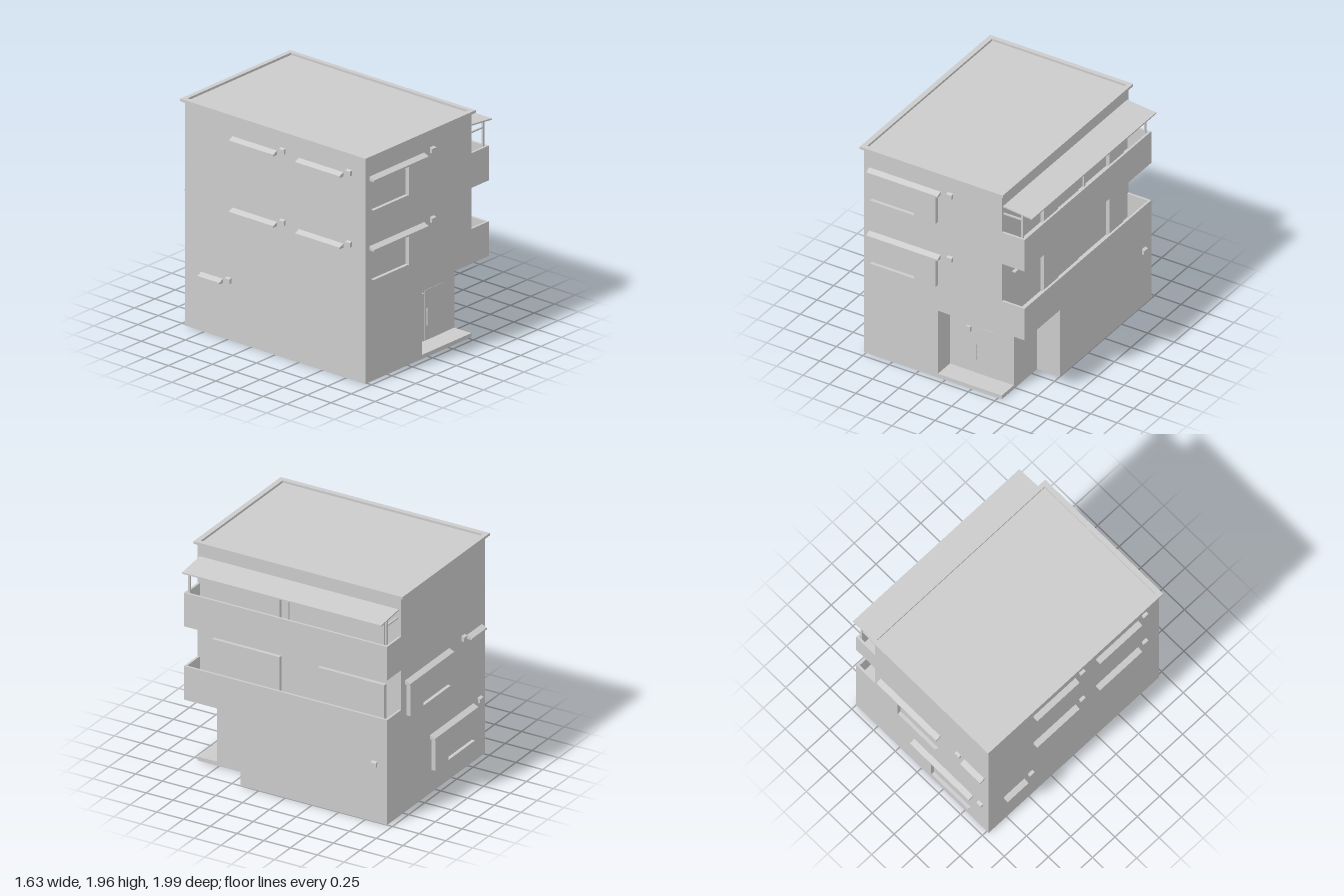
import * as THREE from 'three';

const mat = new THREE.MeshStandardMaterial({ color: 0xcccccc, flatShading: true });

function add(parent, name, geo) {
  const m = new THREE.Mesh(geo, mat);
  m.name = name;
  parent.add(m);
  return m;
}

// Box given by its min and max corners
function box(parent, name, x0, x1, y0, y1, z0, z1) {
  const g = new THREE.BoxGeometry(x1 - x0, y1 - y0, z1 - z0);
  g.translate((x0 + x1) / 2, (y0 + y1) / 2, (z0 + z1) / 2);
  return add(parent, name, g);
}

const toPlan = pts => pts.map(([x, z]) => new THREE.Vector2(x, -z));

// Floor plan of [x, z] points raised from y0 to y1
function plan(parent, name, pts, y0, y1, hole) {
  const s = new THREE.Shape(toPlan(pts));
  if (hole) s.holes.push(new THREE.Path(toPlan(hole)));
  const g = new THREE.ExtrudeGeometry(s, { depth: y1 - y0, bevelEnabled: false });
  g.rotateX(-Math.PI / 2);
  g.translate(0, y0, 0);
  return add(parent, name, g);
}

const rect = (x, X, z, Z) => [[x, Z], [X, Z], [X, z], [x, z]];

// Profile of [out, y] points run along the wall from u0 to u1
function run(parent, name, profile, u0, u1) {
  const s = new THREE.Shape(profile.map(p => new THREE.Vector2(p[0], p[1])));
  const g = new THREE.ExtrudeGeometry(s, { depth: u1 - u0, bevelEnabled: false });
  g.rotateY(-Math.PI / 2);
  g.translate(u1, 0, 0);
  return add(parent, name, g);
}

// Group whose local x runs along a wall and local z points out of it
function wall(root, name, x, z, turn) {
  const g = new THREE.Group();
  g.name = name;
  g.position.set(x, 0, z);
  g.rotation.y = turn;
  root.add(g);
  return g;
}

function hood(w, u0, u1, y) {
  run(w, 'windowHood', [[0, y], [0.047, y], [0.047, y + 0.014], [0, y + 0.036]], u0, u1);
}

function vent(w, u, y) {
  box(w, 'ventBox', u - 0.023, u + 0.023, y, y + 0.036, 0, 0.02);
  run(w, 'ventLid', [[0, y + 0.034], [0.026, y + 0.034], [0.026, y + 0.04], [0, y + 0.048]], u - 0.025, u + 0.025);
}

// Shutter case at one end, thin rails over and under the opening
function shutterWindow(w, u0, u1, y0, y1, caseHigh = true) {
  const c = 0.205;
  const [c0, c1, r0, r1] = caseHigh ? [u1 - c, u1, u0, u1 - c] : [u0, u0 + c, u0 + c, u1];
  box(w, 'shutterCase', c0, c1, y0, y1, 0, 0.035);
  box(w, 'windowSill', r0, r1, y0, y0 + 0.006, 0, 0.03);
  box(w, 'windowHeadRail', r0, r1, y1 - 0.008, y1, 0, 0.03);
}

function hoodedWindow(w, u0, u1, y0, y1, caseHigh) {
  shutterWindow(w, u0, u1, y0, y1, caseHigh);
  hood(w, u0 - 0.025, u1 + 0.025, y1);
}

export function createModel() {
  const root = new THREE.Group();
  root.name = 'house';
  const L = -0.77, M = 0.535, R = 0.75, D = 0.95;

  // Ground storey with the entrance corner cut away
  plan(root, 'groundStorey', [[L, D], [-0.07, D], [-0.07, 0.77], [M, 0.77], [M, 0.42], [R, 0.42], [R, -D], [L, -D]], 0, 0.635);
  box(root, 'porchFloor', -0.07, M, 0, 0.035, 0.77, D);
  box(root, 'upperStoreys', L, M, 0.635, 1.935, -D, D);

  // Balconies: slab and three-sided parapet
  const t = 0.02;
  for (const [y0, y1] of [[0.635, 0.935], [1.29, 1.59]]) {
    box(root, 'balconySlab', M, R - t, y0, y0 + 0.075, -D + t, D - t);
    plan(root, 'balconyParapet', [[M, D], [R, D], [R, -D], [M, -D], [M, -D + t], [R - t, -D + t], [R - t, D - t], [M, D - t]], y0, y1);
  }

  // Flat roof with raised rim
  plan(root, 'roofRim', rect(-0.795, 0.56, -0.98, 0.975), 1.94, 1.962, rect(-0.75, 0.52, -0.94, 0.93));
  box(root, 'roofDeck', -0.78, 0.545, 1.93, 1.942, -0.965, 0.96);

  // Entrance door
  box(root, 'door', 0.165, 0.39, 0.035, 0.47, 0.765, 0.773);
  box(root, 'doorHandle', 0.184, 0.192, 0.165, 0.315, 0.779, 0.79);
  for (const y of [0.18, 0.29]) box(root, 'handleMount', 0.185, 0.191, y, y + 0.008, 0.77, 0.782);
  box(root, 'doorbell', 0.095, 0.135, 0.415, 0.462, 0.765, 0.795);

  // Front wall
  const front = wall(root, 'frontWallFittings', 0, D, 0);
  for (const y of [0.88, 1.482]) {
    hoodedWindow(front, -0.695, -0.07, y, y + 0.26);
    vent(front, 0.05, y + 0.27);
  }

  // Back wall
  const back = wall(root, 'backWallFittings', 0, -D, Math.PI);
  hoodedWindow(back, -0.445, 0.19, 0.85, 1.137, false);
  vent(back, 0.43, 1.15);
  hood(back, 0.49, 0.72, 1.137);
  hoodedWindow(back, -0.06, 0.565, 0.2, 0.485, false);
  vent(back, 0.68, 0.495);

  // Left-hand wall in the -x direction
  const side = wall(root, 'sideWallFittings', L, 0, -Math.PI / 2);
  for (const y of [1.118, 1.735]) {
    for (const [u0, u1] of [[-0.45, 0.02], [0.25, 0.72]]) {
      hood(side, u0, u1, y);
      vent(side, u1 + 0.065, y + 0.03);
    }
  }
  hood(side, -0.78, -0.55, 0.475);
  vent(side, -0.485, 0.495);

  // Balcony-side wall
  vent(wall(root, 'lowerSideFittings', R, 0, Math.PI / 2), 0.835, 0.495);
  const inner = wall(root, 'balconyWindows', M, 0, Math.PI / 2);
  for (const [y0, y1] of [[0.712, 1.137], [1.367, 1.787]]) {
    shutterWindow(inner, -0.795, -0.165, y0, y1);
    shutterWindow(inner, 0.19, 0.815, y0, y1);
  }

  // Balcony canopy on posts
  run(inner, 'canopy', [[0, 1.818], [0.275, 1.79], [0.275, 1.802], [0, 1.83]], -0.93, 0.93);
  box(inner, 'canopyBeam', -0.93, 0.93, 1.785, 1.802, 0.168, 0.186);
  for (const u of [-0.92, 0, 0.92]) {
    box(inner, 'canopyPost', u - 0.009, u + 0.009, 1.365, 1.79, 0.169, 0.185);
    if (u) box(inner, 'canopyTie', u - 0.007, u + 0.007, 1.748, 1.76, 0, 0.172);
  }
  return root;
}
